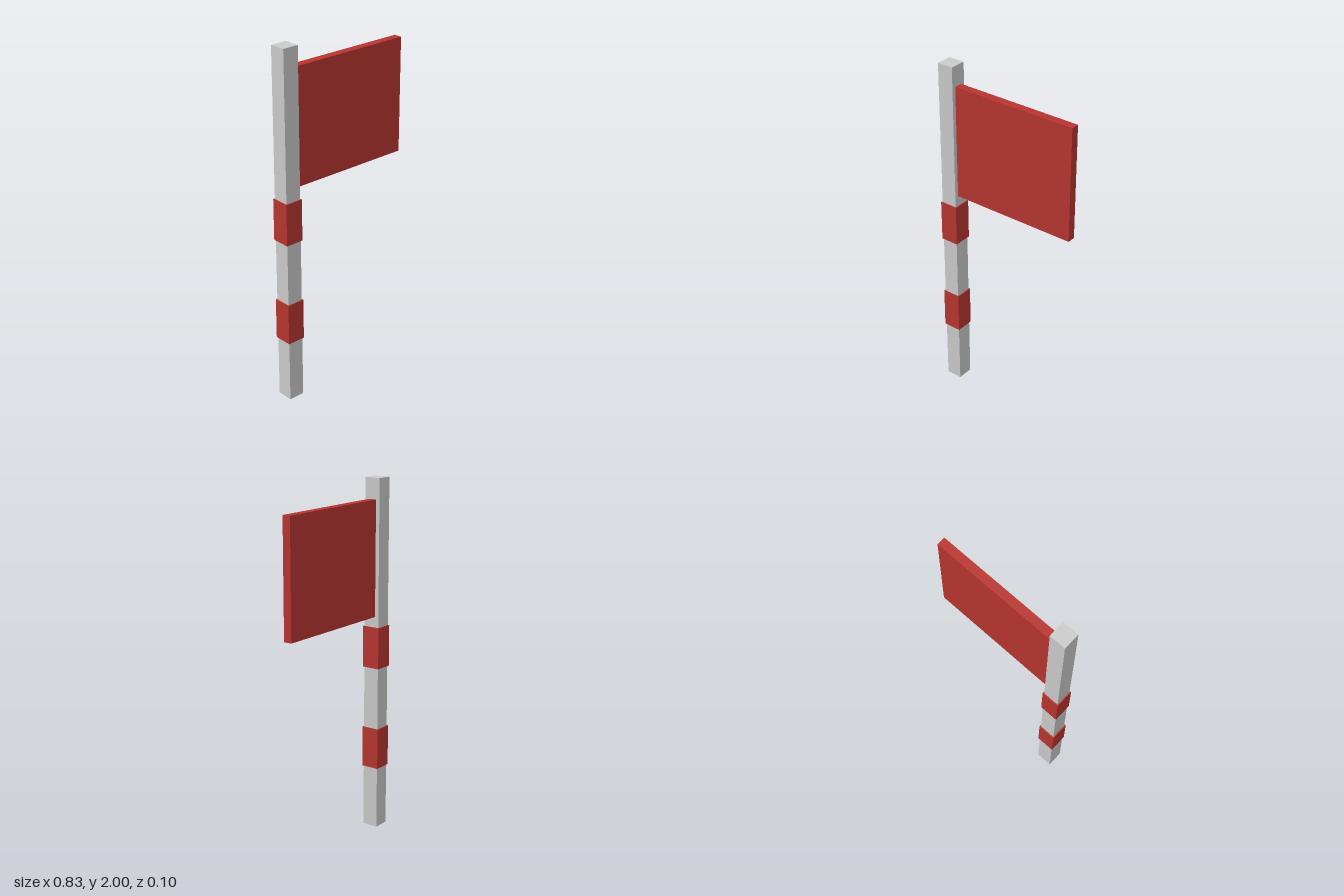
import * as THREE from 'three';

export function createModel() {
  const model = new THREE.Group();
  const grey = new THREE.MeshStandardMaterial({ color: 0xcccccc, flatShading: true });
  const red = new THREE.MeshStandardMaterial({ color: 0xb83530, flatShading: true });
  const poleX = -0.363;

  function box(name, material, size, position) {
    const mesh = new THREE.Mesh(new THREE.BoxGeometry(...size), material);
    mesh.name = name;
    mesh.position.set(...position);
    model.add(mesh);
  }

  // Square pole
  box('pole', grey, [0.092, 2, 0.092], [poleX, 1, 0]);

  // Painted bands wrapped around the pole
  [['lowerBand', 0.474], ['upperBand', 1.062]].forEach(([name, y]) =>
    box(name, red, [0.104, 0.234, 0.104], [poleX, y, 0]));

  // Flag panel, fixed to the pole's left face
  box('flag', red, [0.731, 0.646, 0.047], [0.0485, 1.562, 0]);

  return model;
}
